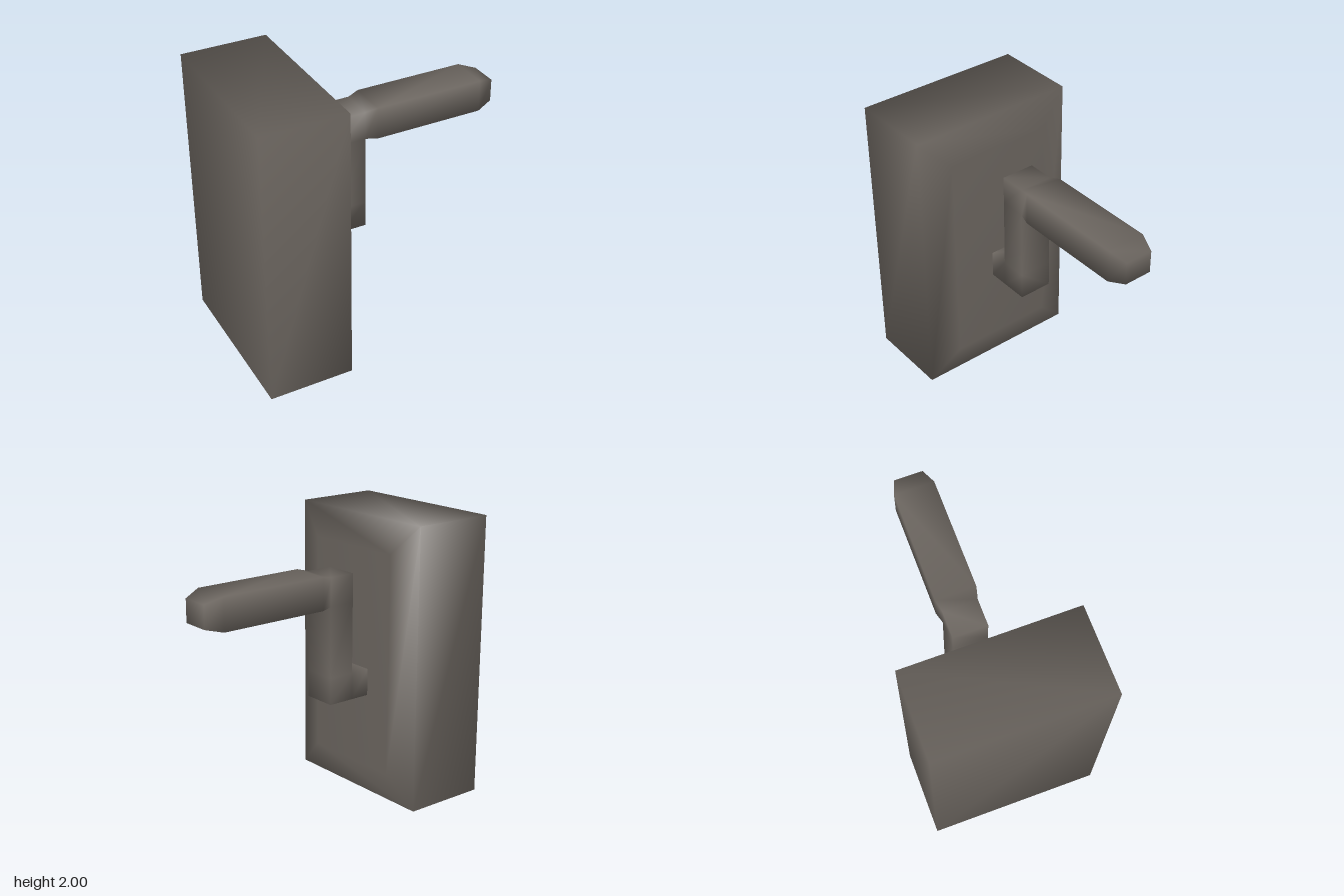
import * as THREE from 'three';

// Smooth mesh from shared corners and quads (counter-clockwise from outside)
function quadMesh(name, points, quads, material) {
  const geometry = new THREE.BufferGeometry();
  geometry.setAttribute('position', new THREE.Float32BufferAttribute(points.flat(), 3));
  geometry.setIndex(quads.flatMap(([a, b, c, d]) => [a, b, c, a, c, d]));
  geometry.computeVertexNormals();
  const mesh = new THREE.Mesh(geometry, material);
  mesh.name = name;
  return mesh;
}

// Block with a bevelled outer face, lofted along x
function createHousing(material) {
  const rings = [ // x, bottom, top, half depth
    [-0.99, 0, 2, 0.6],
    [-0.39, 0, 2, 0.6],
    [-0.33, 0.22, 1.78, 0.38],
  ];
  const points = rings.flatMap(([x, y0, y1, z]) => [[x, y1, z], [x, y1, -z], [x, y0, -z], [x, y0, z]]);
  const quads = [[0, 1, 2, 3], [11, 10, 9, 8]];
  for (let r = 0; r < 2; r++) {
    for (let k = 0; k < 4; k++) {
      const a = r * 4 + k, b = r * 4 + (k + 1) % 4;
      quads.push([a, a + 4, b + 4, b]);
    }
  }
  return quadMesh('housing', points, quads, material);
}

// Cranked arm and grip: an outline in x and y with a half depth at each corner
function createCrank(material) {
  const arm = 0.12, grip = 0.14, tip = 0.1, zMid = -0.05;
  const outline = [
    [-0.33, 0.75, arm], [-0.19, 0.75, arm], [0, 0.75, arm], [0, 0.94, arm],
    [0, 1.44, arm], [0.08, 1.43, grip], [0.87, 1.43, grip], [0.99, 1.46, tip],
    [0.99, 1.62, tip], [0.87, 1.66, grip], [0.08, 1.66, grip], [0, 1.64, arm],
    [-0.19, 1.64, arm], [-0.19, 1.44, arm], [-0.19, 0.94, arm], [-0.33, 0.94, arm],
  ];
  const cells = [
    [0, 1, 14, 15], [1, 2, 3, 14], [14, 3, 4, 13], [13, 4, 11, 12],
    [4, 5, 10, 11], [5, 6, 9, 10], [6, 7, 8, 9],
  ];
  const points = outline.flatMap(([x, y, h]) => [[x, y, zMid + h], [x, y, zMid - h]]);
  const quads = [];
  for (const cell of cells) {
    quads.push(cell.map((i) => i * 2), cell.map((i) => i * 2 + 1).reverse());
  }
  // Rim, left open where the arm meets the housing
  for (let i = 0; i < outline.length - 1; i++) {
    quads.push([i * 2 + 1, i * 2 + 3, i * 2 + 2, i * 2]);
  }
  return quadMesh('crankHandle', points, quads, material);
}

export function createModel() {
  const darkMetal = new THREE.MeshStandardMaterial({ color: 0x6b655f });
  darkMetal.name = 'dark metal';
  const group = new THREE.Group();
  group.name = 'wallCrank';
  group.add(createHousing(darkMetal), createCrank(darkMetal));
  return group;
}
